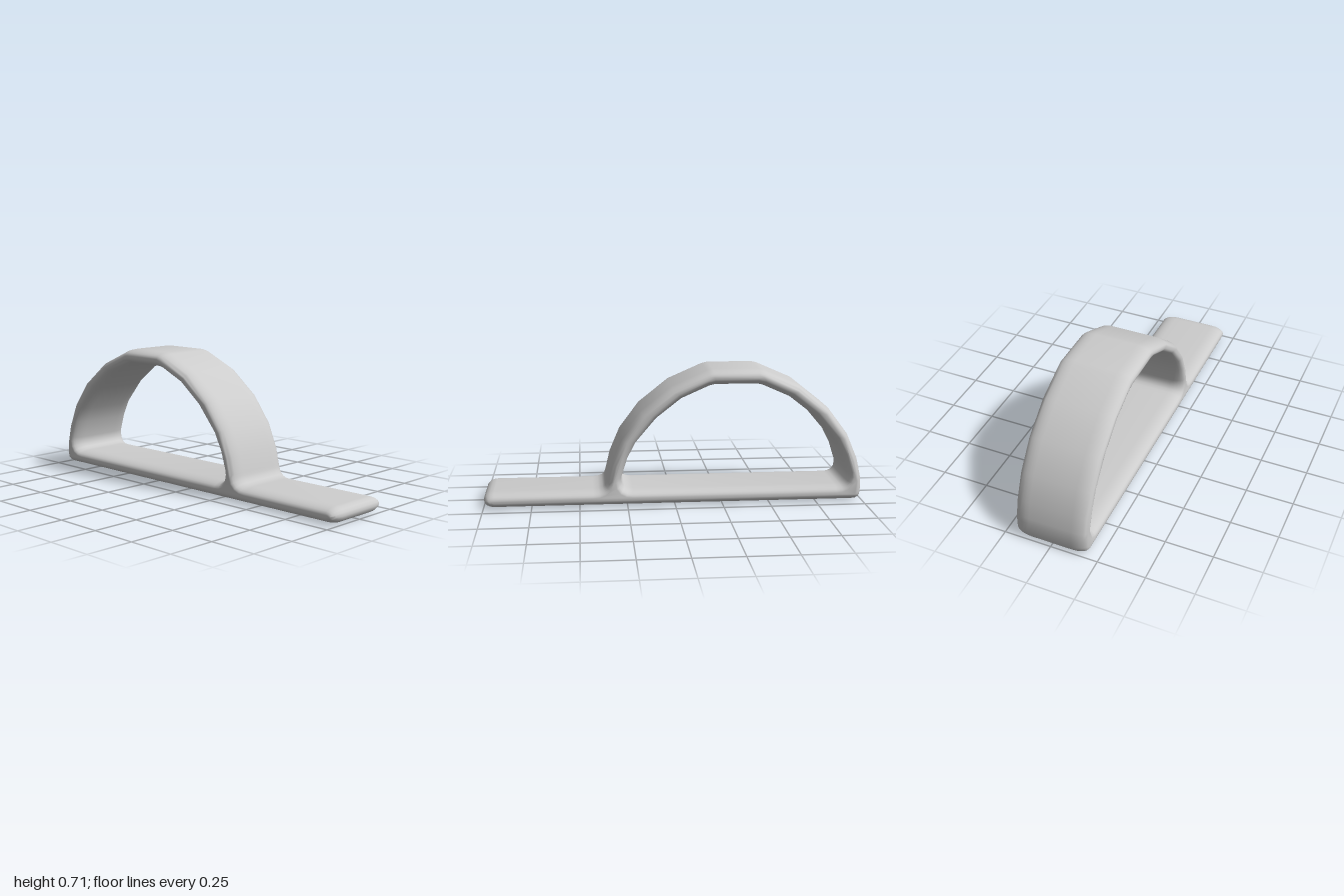
import * as THREE from 'three';
import { toCreasedNormals } from 'three/addons/utils/BufferGeometryUtils.js';

const ARCH_X = -0.32; // centre line of the arch

// Half profiles of the arch, from the crown down, as offsets from the centre line
const OUTER = [[0.12, 0.71], [0.15, 0.703], [0.335, 0.622], [0.495, 0.495], [0.6, 0.355], [0.655, 0.225], [0.675, 0.14]];
const INNER = [[0.11, 0.633], [0.14, 0.626], [0.285, 0.562], [0.415, 0.46], [0.525, 0.33], [0.568, 0.245], [0.598, 0.15]];

const rightSide = (half) => half.map(([x, y]) => [ARCH_X + x, y]);
const leftSide = (half) => half.map(([x, y]) => [ARCH_X - x, y]).reverse();

// Quarter-round corner from a to b, bending toward the control point c
function corner(a, c, b, steps = 4) {
  const v = (p) => new THREE.Vector2(p[0], p[1]);
  return new THREE.QuadraticBezierCurve(v(a), v(c), v(b)).getPoints(steps).map((p) => [p.x, p.y]);
}
const toPoints = (list) => list.map(([x, y]) => new THREE.Vector2(x, y));

export function createModel() {
  const group = new THREE.Group();
  group.name = 'archedHandle';
  const grey = new THREE.MeshStandardMaterial({ color: 0xcccccc });
  grey.name = 'light grey';

  // Outline: flat base strip with rounded tip, fillet, and arch
  const tip = [];
  for (let i = 0; i <= 8; i++) {
    const a = -Math.PI / 2 + (Math.PI * i) / 8;
    tip.push([0.945 + 0.055 * Math.cos(a), 0.04 + 0.04 * Math.sin(a)]);
  }
  const outline = new THREE.Shape(toPoints([
    ...corner([-1, 0.05], [-1, 0], [-0.945, 0]),
    ...tip,
    ...corner([0.43, 0.08], [0.365, 0.08], [0.359, 0.125]),
    ...rightSide(OUTER).reverse(),
    ...leftSide(OUTER).reverse(),
    [-1, 0.11],
  ]));

  // Opening under the arch, with filleted lower corners
  outline.holes.push(new THREE.Path(toPoints([
    ...leftSide(INNER),
    ...rightSide(INNER),
    ...corner([0.28, 0.13], [0.28, 0.08], [0.22, 0.08]),
    ...corner([-0.86, 0.08], [-0.92, 0.08], [-0.92, 0.13]),
  ])));

  // Soft elliptical rounding toward both faces
  const extruded = new THREE.ExtrudeGeometry(outline, {
    depth: 0.225,
    bevelEnabled: true,
    bevelThickness: 0.08,
    bevelSize: 0.033,
    bevelOffset: -0.033,
    bevelSegments: 6,
  });
  extruded.translate(0, 0, -0.1125);

  const body = new THREE.Mesh(toCreasedNormals(extruded, 0.9), grey);
  body.name = 'baseStripAndArch';
  group.add(body);
  return group;
}
